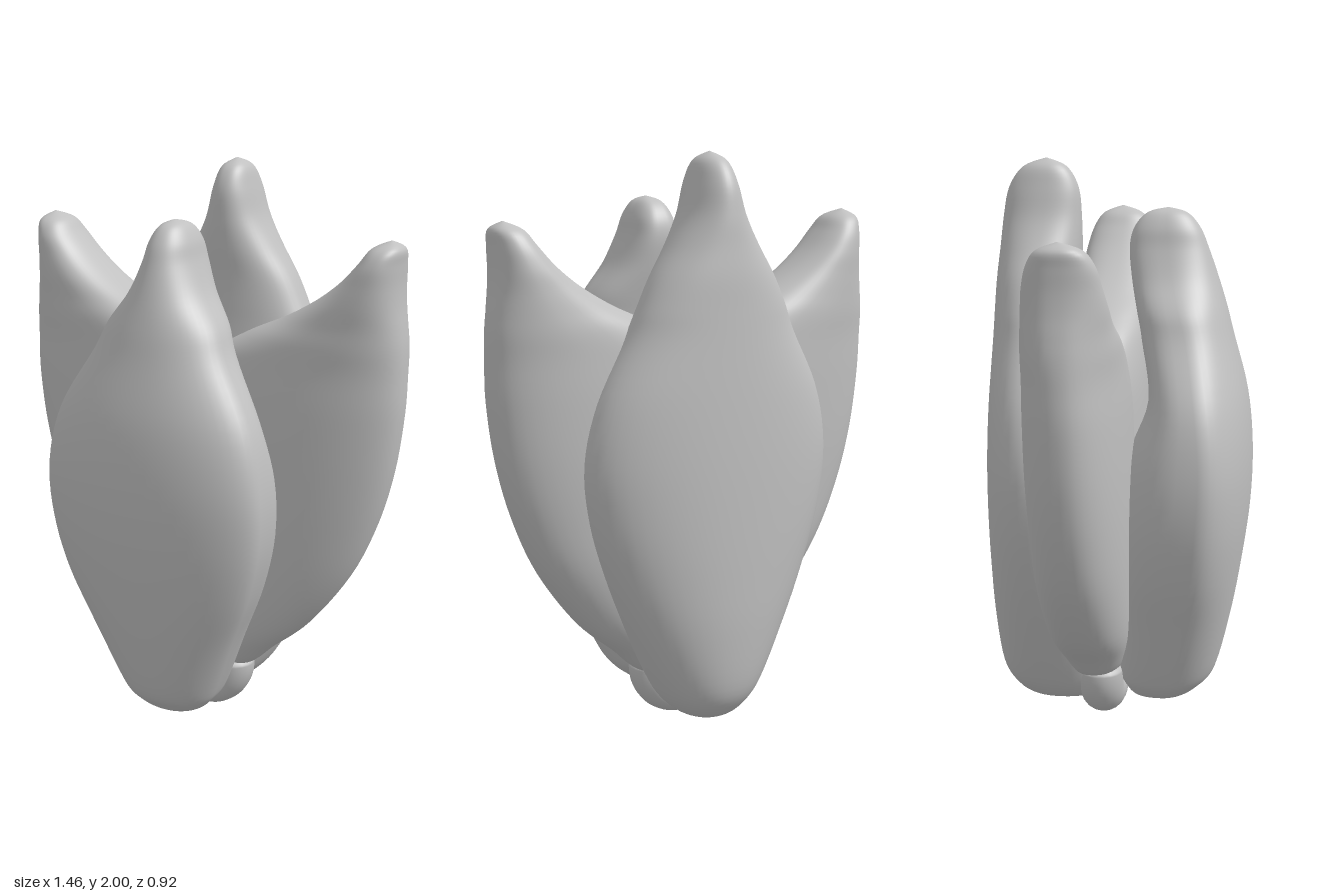
import * as THREE from 'three';

const RING = 48, STEPS = 5;

// Lofted petal. Each row: [y, xMin, xMax, zBack, zFront, zWidest]
// nBack / nFront set how square the back and front halves of the section are.
function petalGeometry(rows, nBack, nFront) {
  const columns = [1, 2, 3, 4, 5].map(k =>
    new THREE.SplineCurve(rows.map(r => new THREE.Vector2(r[0], r[k]))));
  const count = (rows.length - 1) * STEPS;
  const pos = [], idx = [];
  for (let j = 0; j <= count; j++) {
    const p = columns.map(c => c.getPoint(j / count));
    const [x0, x1, zb, zf, zw] = p.map(v => v.y);
    for (let i = 0; i < RING; i++) {
      const a = i / RING * Math.PI * 2, c = Math.cos(a), s = Math.sin(a);
      const n = s > 0 ? nFront : nBack;
      const cx = Math.sign(c) * Math.abs(c) ** (2 / n);
      const sz = Math.abs(s) ** (2 / n);
      pos.push((x0 + x1) / 2 + cx * (x1 - x0) / 2, p[0].x, zw + sz * ((s > 0 ? zf : zb) - zw));
      if (j < count) {
        const q = j * RING + i, r = j * RING + (i + 1) % RING;
        idx.push(q, q + RING, r, r, q + RING, r + RING);
      }
    }
  }
  const g = new THREE.BufferGeometry();
  g.setAttribute('position', new THREE.Float32BufferAttribute(pos, 3));
  g.setIndex(idx);
  g.computeVertexNormals();
  return g;
}

// Symmetric rows: [y, halfWidth, zBack, zFront, zWidest]
const symmetric = rows => rows.map(([y, w, ...z]) => [y, -w, w, ...z]);

const frontRows = symmetric([
  [0.07, 0, 0.15, 0.15, 0.15],
  [0.085, 0.09, 0.06, 0.23, 0.15],
  [0.13, 0.145, 0.02, 0.295, 0.17],
  [0.2, 0.185, 0, 0.345, 0.19],
  [0.4, 0.27, 0, 0.395, 0.24],
  [0.6, 0.355, 0, 0.43, 0.28],
  [0.8, 0.405, 0.01, 0.455, 0.3],
  [1.0, 0.41, 0.04, 0.46, 0.31],
  [1.2, 0.365, 0.11, 0.44, 0.29],
  [1.4, 0.25, 0.08, 0.39, 0.25],
  [1.5, 0.205, 0.06, 0.365, 0.22],
  [1.6, 0.135, 0.04, 0.335, 0.19],
  [1.7, 0.09, 0.03, 0.3, 0.17],
  [1.77, 0.07, 0.045, 0.27, 0.165],
  [1.82, 0.04, 0.09, 0.225, 0.16],
  [1.838, 0, 0.16, 0.16, 0.16],
]);

const backRows = symmetric([
  [0.05, 0, -0.24, -0.24, -0.24],
  [0.065, 0.08, -0.33, -0.1, -0.23],
  [0.11, 0.14, -0.39, -0.04, -0.24],
  [0.2, 0.2, -0.435, -0.03, -0.25],
  [0.4, 0.3, -0.455, -0.03, -0.25],
  [0.6, 0.385, -0.46, -0.05, -0.25],
  [0.8, 0.445, -0.46, -0.06, -0.25],
  [1.0, 0.465, -0.457, -0.08, -0.25],
  [1.2, 0.42, -0.45, -0.1, -0.26],
  [1.4, 0.315, -0.44, -0.13, -0.27],
  [1.5, 0.27, -0.435, -0.14, -0.28],
  [1.6, 0.22, -0.43, -0.145, -0.28],
  [1.7, 0.155, -0.42, -0.14, -0.28],
  [1.8, 0.1, -0.41, -0.14, -0.275],
  [1.9, 0.07, -0.39, -0.15, -0.265],
  [1.97, 0.045, -0.34, -0.19, -0.26],
  [2.0, 0, -0.26, -0.26, -0.26],
]);

// Left side petal, mirrored for the right
const sideRows = [
  [0.16, 0.02, 0.02, -0.08, -0.08, -0.08],
  [0.19, -0.1, 0.17, -0.16, 0.0, -0.08],
  [0.28, -0.1, 0.275, -0.2, 0.04, -0.08],
  [0.4, -0.1, 0.41, -0.23, 0.06, -0.08],
  [0.6, -0.1, 0.555, -0.25, 0.07, -0.085],
  [0.8, -0.1, 0.645, -0.255, 0.075, -0.09],
  [1.0, -0.1, 0.7, -0.26, 0.075, -0.09],
  [1.2, -0.08, 0.727, -0.26, 0.07, -0.09],
  [1.34, 0.0, 0.73, -0.255, 0.06, -0.095],
  [1.43, 0.14, 0.728, -0.25, 0.055, -0.1],
  [1.5, 0.29, 0.72, -0.24, 0.045, -0.1],
  [1.57, 0.41, 0.71, -0.23, 0.04, -0.1],
  [1.64, 0.5, 0.705, -0.22, 0.03, -0.1],
  [1.71, 0.565, 0.706, -0.2, 0.015, -0.1],
  [1.76, 0.605, 0.705, -0.165, -0.02, -0.095],
  [1.787, 0.665, 0.665, -0.095, -0.095, -0.095],
];
const mirrored = rows => rows.map(([y, a, b, ...z]) => [y, -b, -a, ...z]);

export function createModel() {
  const model = new THREE.Group();
  model.name = 'flowerBud';
  const grey = new THREE.MeshStandardMaterial({ color: 0xc0c0c0 });
  grey.name = 'plain grey';

  const add = (name, geometry, parent = model) => {
    const mesh = new THREE.Mesh(geometry, grey);
    mesh.name = name;
    parent.add(mesh);
    return mesh;
  };

  // Petals
  add('frontPetal', petalGeometry(frontRows, 3, 2.1));
  add('backPetal', petalGeometry(backRows, 2.1, 2.3));
  add('leftPetal', petalGeometry(sideRows, 2.3, 2.3));
  add('rightPetal', petalGeometry(mirrored(sideRows), 2.3, 2.3));

  // Curved stem base: a U-shaped roll with rounded ends
  const stem = new THREE.Group();
  stem.name = 'stemBase';
  stem.position.set(0, 0.19, -0.06);
  model.add(stem);
  const R = 0.11, r = 0.08;
  add('stemRoll', new THREE.TorusGeometry(R, r, 20, 32, Math.PI), stem).rotation.z = Math.PI;
  for (const side of [-1, 1]) {
    const end = add('stemEnd', new THREE.SphereGeometry(r, 20, 14), stem);
    end.position.x = side * R;
    end.scale.y = 0.4;
  }
  return model;
}
